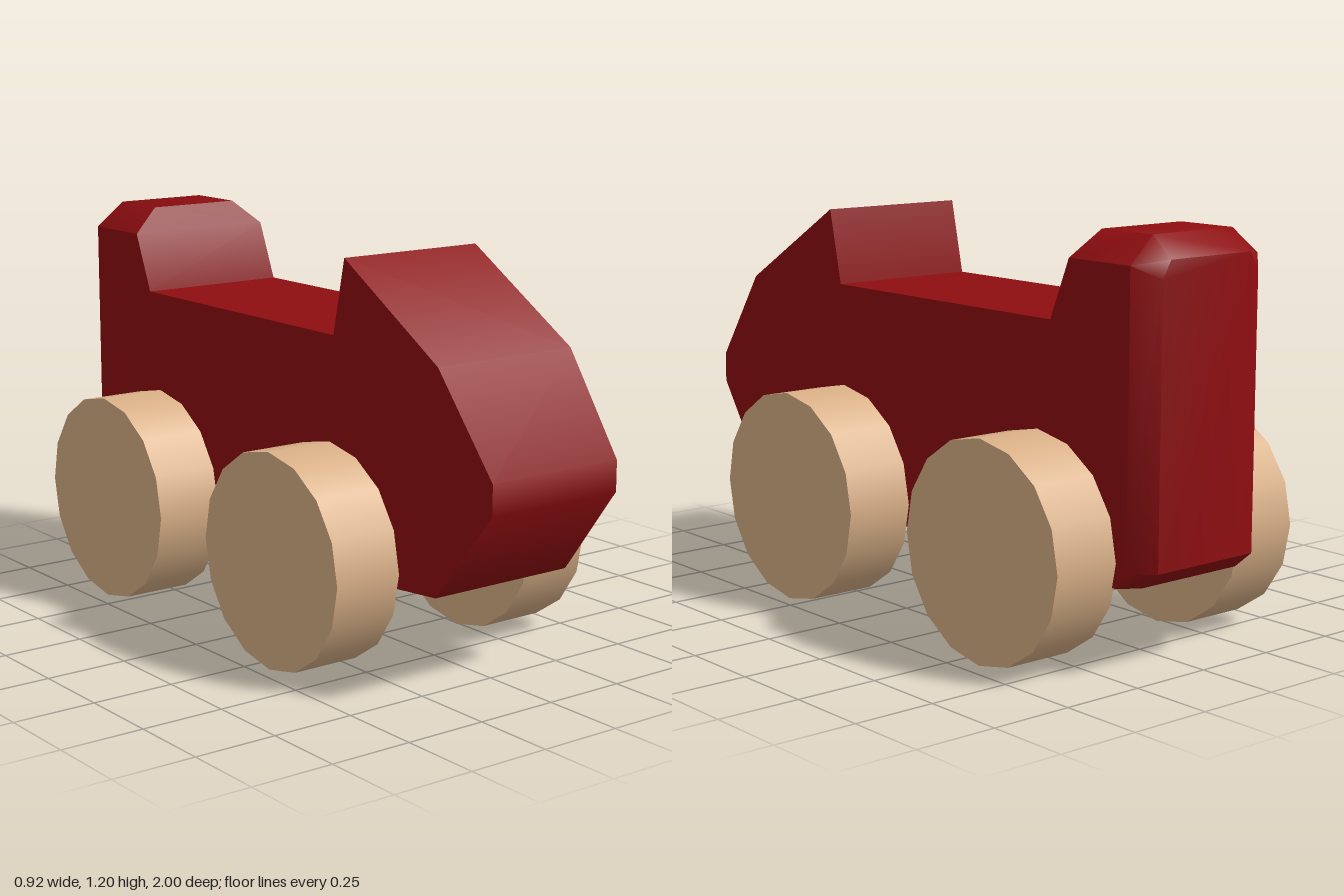
import * as THREE from 'three';
import { ConvexGeometry } from 'three/addons/geometries/ConvexGeometry.js';
import { toCreasedNormals } from 'three/addons/utils/BufferGeometryUtils.js';

const redPaint = new THREE.MeshStandardMaterial({ name: 'redPaint', color: 0x8e0d10 });
const paleWood = new THREE.MeshStandardMaterial({ name: 'paleWood', color: 0xdab188 });

// Solid block from [z, y, halfWidth] corners mirrored across x
function block(name, corners) {
  const points = corners.flatMap(([z, y, w]) => [
    new THREE.Vector3(w, y, z),
    new THREE.Vector3(-w, y, z),
  ]);
  const mesh = new THREE.Mesh(toCreasedNormals(new ConvexGeometry(points), 0.85), redPaint);
  mesh.name = name;
  return mesh;
}

function wheel(name, x, z) {
  const geometry = new THREE.CylinderGeometry(0.32, 0.32, 0.215, 16);
  geometry.rotateZ(Math.PI / 2);
  // put a corner of the rim at the very top
  const mesh = new THREE.Mesh(geometry, paleWood);
  mesh.name = name;
  mesh.position.set(x, 0.32, z);
  return mesh;
}

export function createModel() {
  const car = new THREE.Group();
  car.name = 'toyCar';
  const W = 0.24;

  // Pointed nose rising to the leaning windscreen hump
  car.add(block('nose', [
    [0.33, 0.25, W], [0.33, 0.95, W], [0.38, 1.175, W], [0.79, 0.93, W],
    [1, 0.65, 0.225], [1, 0.56, 0.225], [0.79, 0.29, W],
  ]));

  // Flat deck between hump and tail
  const deck = new THREE.Mesh(new THREE.BoxGeometry(2 * W, 0.7, 0.96), redPaint);
  deck.name = 'deck';
  deck.position.set(0, 0.6, -0.15);
  car.add(deck);

  // Raised tail with chamfered top and back edges
  car.add(block('tail', [
    [-0.63, 0.25, W], [-0.63, 0.95, W], [-0.703, 1.125, W], [-0.735, 1.2, 0.15],
    [-0.93, 1.2, 0.15], [-0.94, 1.125, W], [-1, 1.14, 0.15], [-1, 1.09, 0.18],
    [-1, 0.3, 0.18], [-0.94, 0.3, W], [-0.94, 0.25, 0.18], [-0.9, 0.25, W],
  ]));

  // Four wheels
  for (const [side, s] of [['Left', 1], ['Right', -1]]) {
    car.add(wheel(`front${side}Wheel`, s * 0.35, 0.315));
    car.add(wheel(`rear${side}Wheel`, s * 0.342, -0.58));
  }
  return car;
}
